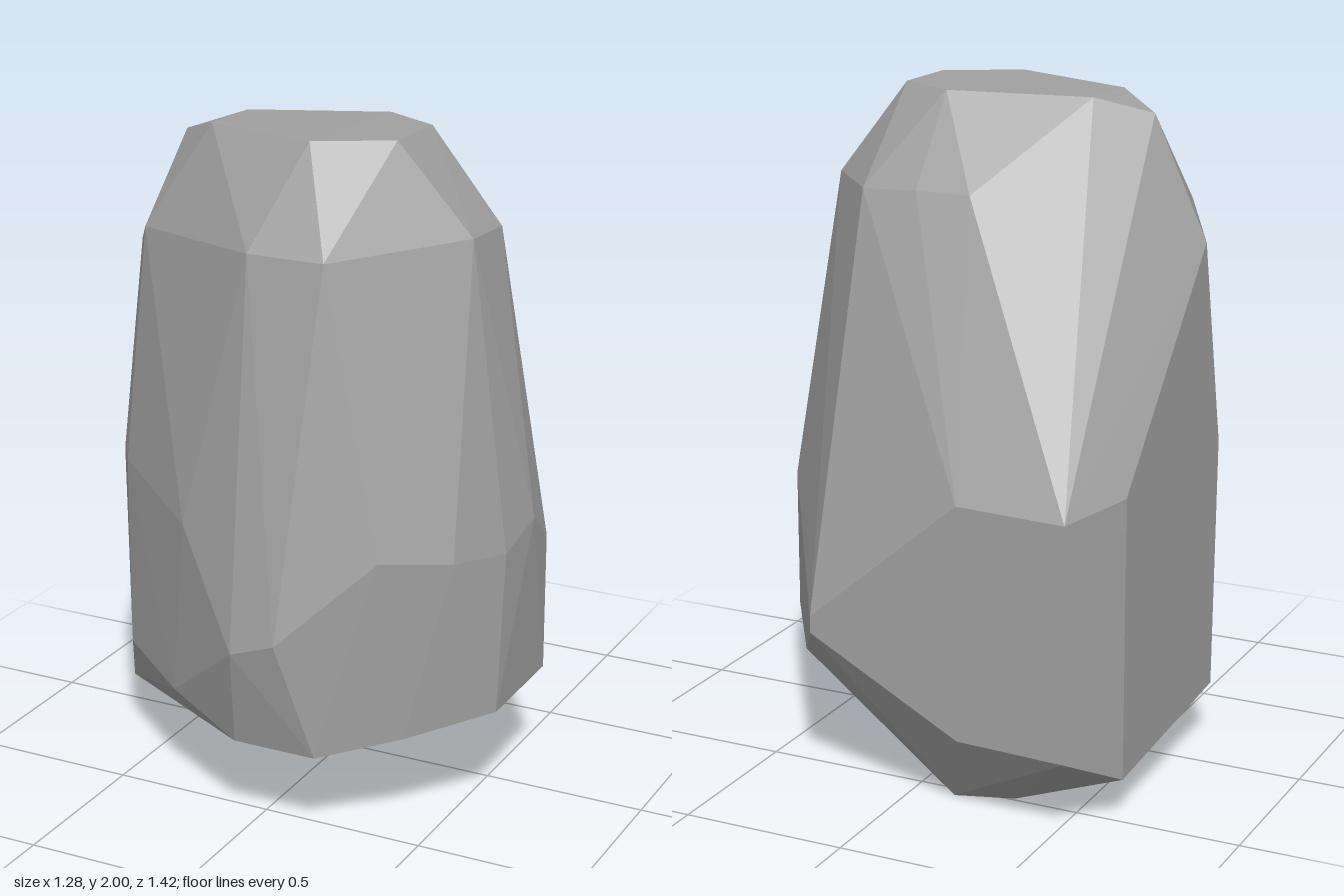
import * as THREE from 'three';
import { ConvexGeometry } from 'three/addons/geometries/ConvexGeometry.js';

// Corner rings of the boulder, [x, y, z]
const crown = [
  [-0.32, 1.99, -0.02], [0.09, 2, -0.14], [0.27, 2, -0.04], [0.265, 2, 0.18],
  [0.05, 2, 0.3], [-0.33, 1.99, 0.18], [-0.47, 1.94, 0.08],
];
const shoulder = [
  [0.48, 1.72, -0.07], [0.48, 1.73, 0.13], [0.19, 1.71, 0.49], [-0.05, 1.71, 0.49],
  [-0.53, 1.67, 0.235], [-0.643, 1.58, 0.065],
  [0.27, 1.73, -0.32], [0.09, 1.74, -0.335], [-0.08, 1.74, -0.335],
];
const waist = [
  [0.25, 0.55, -0.71], [-0.22, 0.95, -0.71], [-0.55, 0.94, -0.71], [-0.643, 0.97, -0.5],
  [-0.643, 0.95, 0.2], [-0.58, 0.95, 0.29], [-0.24, 0.89, 0.55], [0, 0.59, 0.71],
  [0.14, 0.64, 0.71], [0.39, 0.88, 0.55], [0.55, 0.85, 0.39], [0.63, 0.83, 0.2],
  [0.64, 0.88, 0.02], [0.62, 0.77, -0.13], [0.57, 0.68, -0.21],
];
const base = [
  [-0.22, 0.25, -0.71], [-0.55, 0.24, -0.71], [-0.643, 0.13, -0.5], [-0.643, 0.18, 0.18],
  [-0.58, 0.35, 0.29], [-0.31, 0.33, 0.5], [-0.03, 0.28, 0.635], [0.23, 0.28, 0.635],
  [0.44, 0.32, 0.48], [0.63, 0.35, 0.25], [0.62, 0.34, -0.13], [0.49, 0.275, -0.32],
  [0.25, 0.5, -0.71],
];
const foot = [[-0.13, 0, -0.545], [-0.3, 0, -0.49], [-0.41, 0, -0.36]];

export function createModel() {
  const stone = new THREE.MeshStandardMaterial({ color: 0xa0a0a0 });
  stone.name = 'stone grey';

  // Faceted hull wrapped around the rings
  const points = [crown, shoulder, waist, base, foot].flat().map((p) => new THREE.Vector3(...p));
  const boulder = new THREE.Mesh(new ConvexGeometry(points), stone);
  boulder.name = 'boulder';

  const group = new THREE.Group();
  group.name = 'rock';
  group.add(boulder);
  return group;
}
